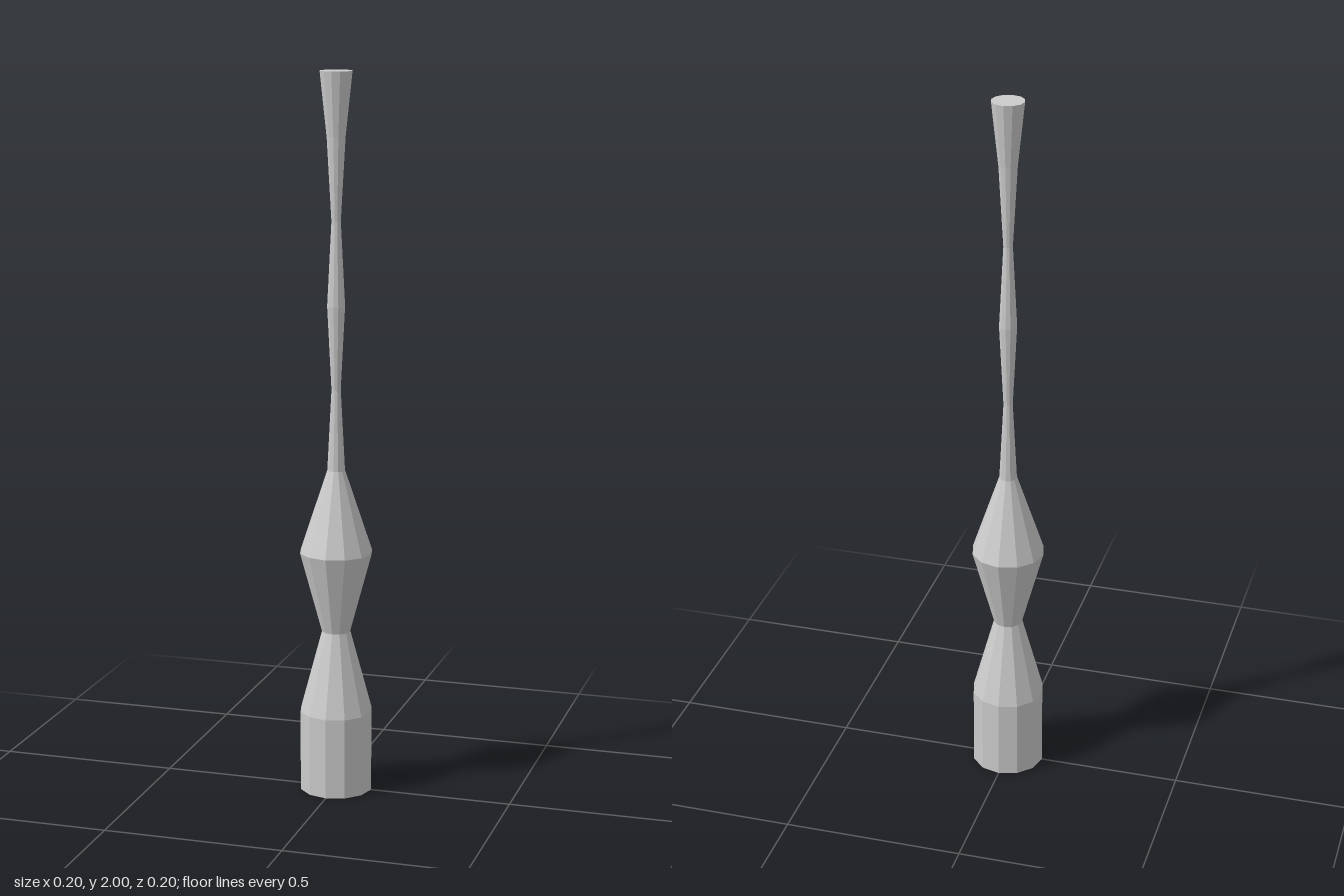
import * as THREE from 'three';

const SIDES = 12;

// Faceted turned piece from [radius, height] pairs, bottom to top
function turned(name, profile) {
  const points = profile.map(([r, y]) => new THREE.Vector2(r, y));
  const material = new THREE.MeshStandardMaterial({ color: 0xcccccc, flatShading: true });
  const mesh = new THREE.Mesh(new THREE.LatheGeometry(points, SIDES), material);
  mesh.name = name;
  return mesh;
}

export function createModel() {
  const group = new THREE.Group();
  group.name = 'turnedSpindle';

  // Closed cylindrical foot tapering to the first neck
  group.add(turned('foot', [[0, 0], [0.102, 0], [0.102, 0.228], [0.04, 0.457]]));

  // Double-cone bulge above the neck
  group.add(turned('bulge', [[0.04, 0.457], [0.102, 0.685], [0.025, 0.915]]));

  // Slim waisted stem
  group.add(turned('stem', [[0.025, 0.915], [0.013, 1.14], [0.025, 1.37], [0.013, 1.6]]));

  // Flared, capped tip
  group.add(turned('flaredTip', [[0.013, 1.6], [0.026, 1.825], [0.045, 2], [0, 2]]));

  return group;
}
